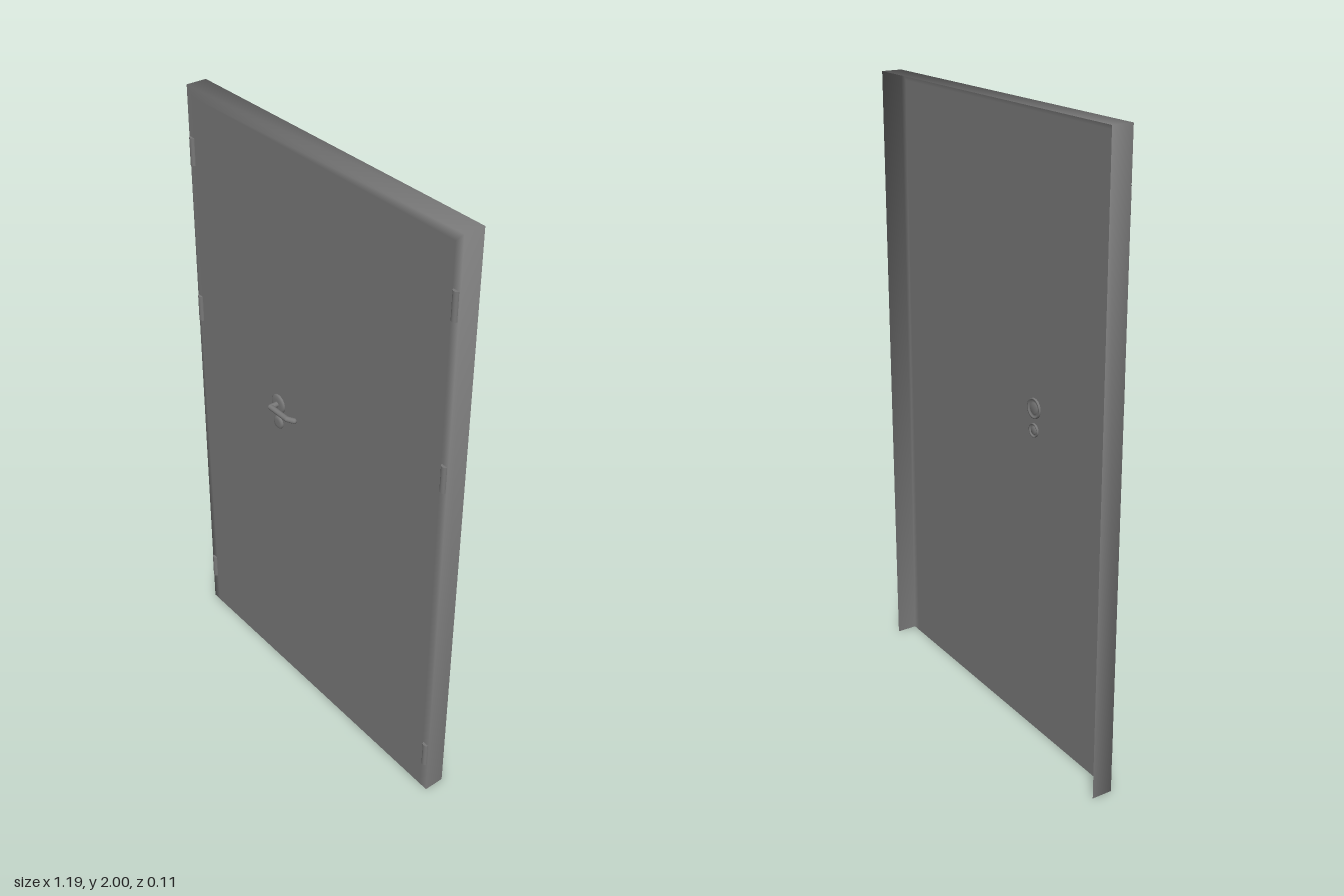
import * as THREE from 'three';

const W = 1.186, H = 2, FRONT = 0.012, BACK = -0.056, INSET = 0.03;

// Folded sheet: flat skin, narrow border and flanges, open below and behind.
// Normals are shared across the folds so the edges shade softly.
function leafGeometry() {
  const points = [], normals = [], index = [];
  const rings = [
    { inset: INSET, z: FRONT, out: 0, forward: 1 },
    { inset: 0, z: FRONT, out: 1, forward: 1 },
    { inset: 0, z: BACK, out: 1, forward: 0 },
  ];
  for (const { inset, z, out, forward } of rings) {
    // Bottom right, top right, top left, bottom left
    for (const [side, top] of [[-1, 0], [-1, 1], [1, 1], [1, 0]]) {
      points.push(side * (W / 2 - inset), top * (H - inset), z);
      normals.push(...new THREE.Vector3(side * out, top * out, forward).normalize().toArray());
    }
  }
  index.push(0, 2, 1, 0, 3, 2);
  for (const ring of [0, 4]) {
    for (let i = 0; i < 3; i++) {
      const a = ring + i, b = a + 1, c = a + 4, d = a + 5;
      index.push(a, b, d, a, d, c);
    }
  }
  const geometry = new THREE.BufferGeometry();
  geometry.setAttribute('position', new THREE.Float32BufferAttribute(points, 3));
  geometry.setAttribute('normal', new THREE.Float32BufferAttribute(normals, 3));
  geometry.setIndex(index);
  return geometry;
}

// Domed round plate facing +z, with a stepped back
const rose = (radius, front) => new THREE.LatheGeometry([
  [0, -0.006], [radius * 0.5, -0.006], [radius * 0.55, -0.002], [radius * 0.8, -0.002],
  [radius * 0.85, -0.006], [radius, -0.006], [radius, front * 0.5],
  [radius * 0.85, front * 0.9], [radius * 0.5, front], [0, front],
].map(([r, z]) => new THREE.Vector2(r, z)), 32).rotateX(Math.PI / 2);

export function createModel() {
  const model = new THREE.Group();
  const steel = new THREE.MeshStandardMaterial({ color: 0x787878 });
  const sheet = new THREE.MeshStandardMaterial({ color: 0x787878, side: THREE.DoubleSide });

  const add = (name, geometry, x = 0, y = 0, z = 0, parent = model, material = steel) => {
    const mesh = new THREE.Mesh(geometry, material);
    mesh.name = name;
    mesh.position.set(x, y, z);
    parent.add(mesh);
  };

  add('doorLeaf', leafGeometry(), 0, 0, 0, model, sheet);

  // Hinges: upright half barrels on the front skin, three per side
  const barrel = new THREE.CylinderGeometry(0.0105, 0.0105, 0.088, 16, 1, false, -Math.PI / 2, Math.PI)
    .scale(1, 1, 0.85);
  for (const side of [-1, 1]) {
    for (const y of [0.157, 1.254, 1.796]) {
      add('hinge', barrel, side * 0.578, y, FRONT);
    }
  }

  // Handle and lock plates
  const handle = new THREE.Group();
  handle.name = 'handle';
  handle.position.set(-0.168, 1.1, FRONT);
  model.add(handle);
  add('handleRose', rose(0.032, 0.008), 0, 0, 0, handle);
  add('lockRose', rose(0.022, 0.008), 0, -0.07, 0, handle);

  // Lever: out from the rose, along the door, then angled back at the tip
  const corners = [[0, 0], [0, 0.032], [0.083, 0.032], [0.105, 0.021]]
    .map(([x, z]) => new THREE.Vector3(x, 0, z));
  const joint = new THREE.SphereGeometry(0.009, 16, 12);
  for (let i = 1; i < corners.length; i++) {
    const segment = new THREE.LineCurve3(corners[i - 1], corners[i]);
    add('lever', new THREE.TubeGeometry(segment, 1, 0.009, 16), 0, 0, 0, handle);
    // Round joint at each bend and at the tip
    add('leverJoint', joint, corners[i].x, 0, corners[i].z, handle);
  }
  return model;
}
